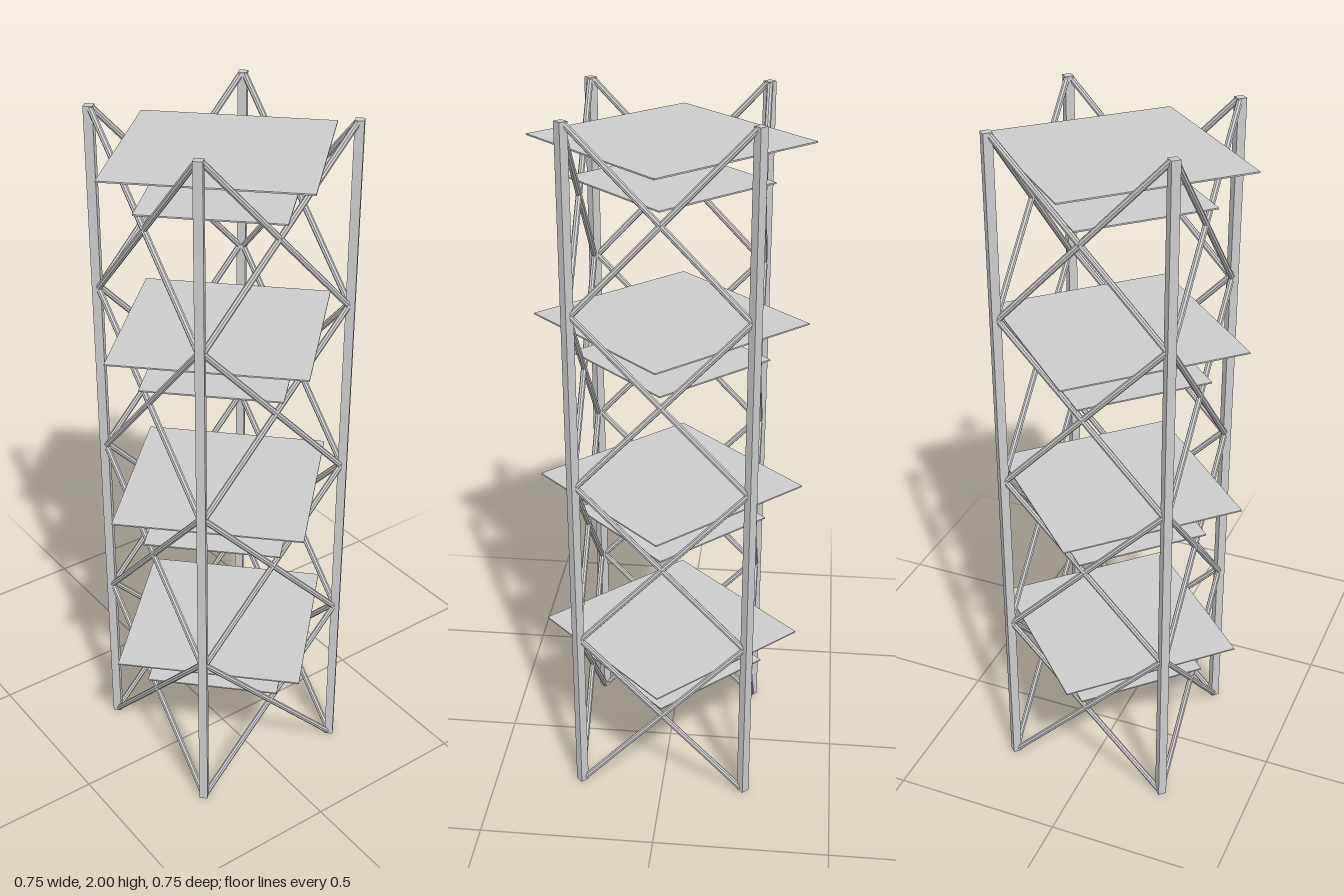
import * as THREE from 'three';

const HALF = 0.242;   // post centre from the axis
const BAY = 0.497;    // height of one bay
const BAYS = 4;
const BASE = 0.006;   // height of the lowest brace node

export function createModel() {
  const group = new THREE.Group();
  group.name = 'latticeTower';
  const material = new THREE.MeshStandardMaterial({ color: 0xcccccc, flatShading: true });

  const add = (parent, name, geometry) => {
    const mesh = new THREE.Mesh(geometry, material);
    mesh.name = name;
    parent.add(mesh);
    return mesh;
  };

  // Round bar between two points
  const bar = (parent, name, a, b, radius) => {
    const dir = b.clone().sub(a);
    const mesh = add(parent, name, new THREE.CylinderGeometry(radius, radius, dir.length(), 8));
    mesh.position.copy(a).add(b).multiplyScalar(0.5);
    mesh.quaternion.setFromUnitVectors(new THREE.Vector3(0, 1, 0), dir.normalize());
  };

  // Four square posts, turned so their corners face outward along the axes
  for (const x of [-HALF, HALF]) {
    for (const z of [-HALF, HALF]) {
      const post = add(group, 'cornerPost', new THREE.CylinderGeometry(0.0175, 0.0175, 2, 4));
      post.position.set(x, 1, z);
    }
  }

  // Crossed braces in every bay of all four sides
  for (let side = 0; side < 4; side++) {
    const panel = new THREE.Group();
    panel.name = 'bracedSide';
    panel.rotation.y = side * Math.PI / 2;
    for (let i = 0; i < BAYS; i++) {
      const y0 = BASE + i * BAY;
      for (const s of [-1, 1]) {
        bar(panel, 'diagonalBrace',
          new THREE.Vector3(-s * 0.235, y0, 0.2425),
          new THREE.Vector3(s * 0.235, y0 + BAY, 0.2425), 0.0085);
      }
    }
    group.add(panel);
  }

  // A small and a large thin diamond-set square plate in every bay
  const plate = (name, halfDiagonal, y) => {
    const w = halfDiagonal * Math.SQRT2;
    const mesh = add(group, name, new THREE.BoxGeometry(w, 0.004, w));
    mesh.position.y = y;
    mesh.rotation.y = Math.PI / 4;
  };
  for (let i = 0; i < BAYS; i++) {
    plate('lowerPlate', 0.275, 0.301 + i * BAY);
    plate('upperPlate', 0.377, 0.411 + i * BAY);
  }

  return group;
}
